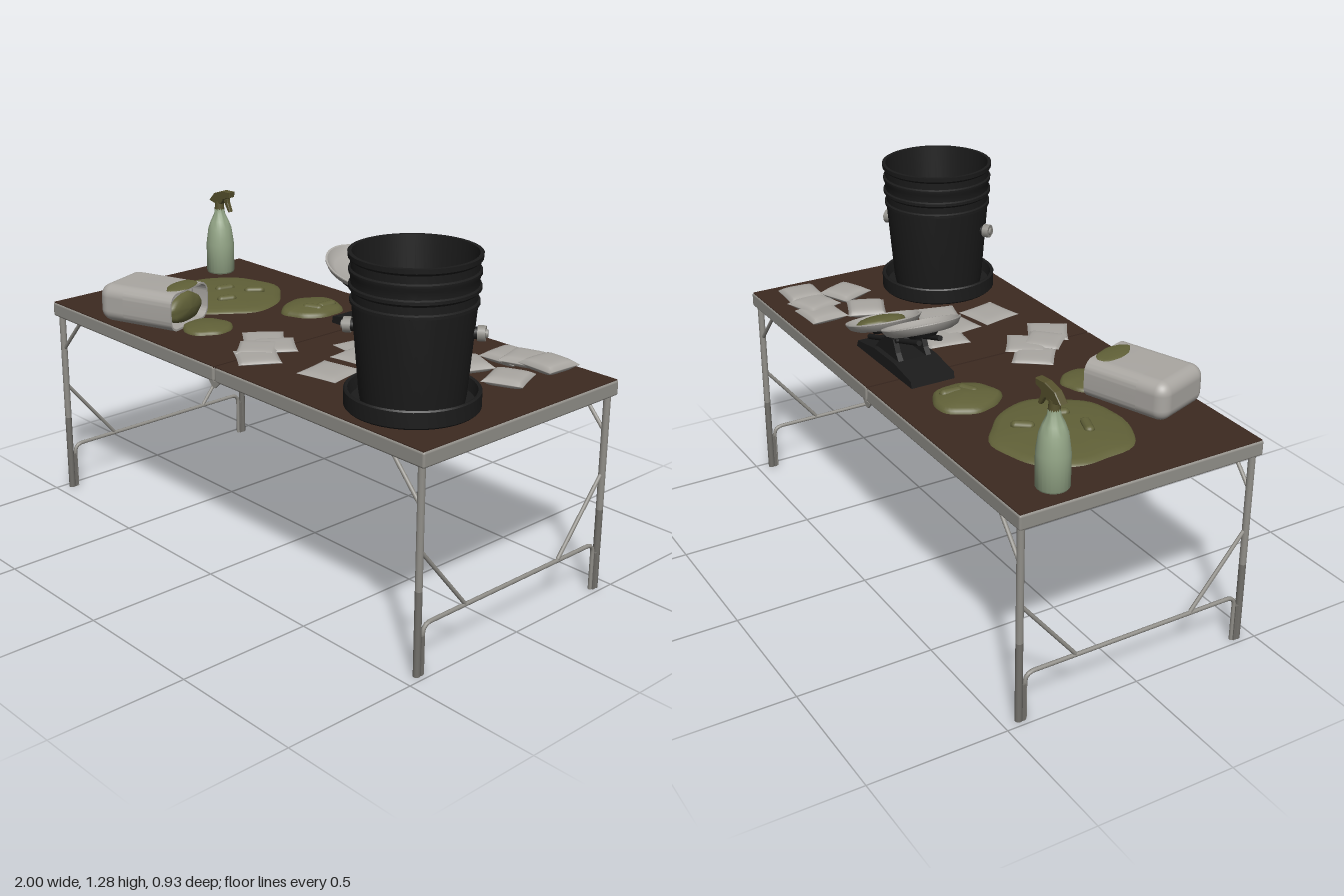
import * as THREE from 'three';
import { toCreasedNormals } from 'three/addons/utils/BufferGeometryUtils.js';
import { RoundedBoxGeometry } from 'three/addons/geometries/RoundedBoxGeometry.js';

const mat = (name, color, side = THREE.FrontSide) => {
  const m = new THREE.MeshStandardMaterial({ color, side });
  m.name = name;
  return m;
};
const V = (x, y, z) => new THREE.Vector3(x, y, z);
const shapeOf = pts => new THREE.Shape(pts.map(p => new THREE.Vector2(...p)));
const TOP = 0.777; // tabletop height

export function createModel() {
  const root = new THREE.Group();
  const brown = mat('brown laminate', 0x3d2a21);
  const metal = mat('grey metal', 0x918f89);
  const darkMetal = mat('dark grey metal', 0x72706b);
  const black = mat('black plastic', 0x1b1b1b, THREE.DoubleSide);
  const white = mat('off white', 0xaaa7a2, THREE.DoubleSide);
  const olive = mat('olive powder', 0x616138);
  const darkOlive = mat('dark olive', 0x55502c);
  const green = mat('pale green', 0x94a687);

  const add = (name, geo, m, pos = [0, 0, 0], rot = [0, 0, 0], parent = root) => {
    const mesh = new THREE.Mesh(geo, m);
    mesh.name = name;
    mesh.position.set(...pos);
    mesh.rotation.set(...rot);
    parent.add(mesh);
    return mesh;
  };
  const group = (name, pos = [0, 0, 0], rot = [0, 0, 0]) => {
    const g = new THREE.Group();
    g.name = name;
    g.position.set(...pos);
    g.rotation.set(...rot);
    root.add(g);
    return g;
  };
  const box = (w, h, d) => new THREE.BoxGeometry(w, h, d);
  const lathe = (pts, n = 32) =>
    toCreasedNormals(new THREE.LatheGeometry(pts.map(p => new THREE.Vector2(...p)), n), 0.6);
  const rod = (name, a, b, r, m, parent = root) => {
    const d = b.clone().sub(a);
    const mesh = add(name, new THREE.CylinderGeometry(r, r, d.length(), 12), m, a.clone().add(b).multiplyScalar(0.5).toArray(), [0, 0, 0], parent);
    mesh.quaternion.setFromUnitVectors(V(0, 1, 0), d.normalize());
  };

  // Folding tabletop: two halves with a narrow gap, hinged at front and back
  for (const s of [-1, 1]) {
    add('tableFrame', new RoundedBoxGeometry(0.997, 0.054, 0.93, 2, 0.008), metal, [s * 0.5015, 0.748, 0]);
    add('tabletop', box(0.991, 0.006, 0.922), brown, [s * 0.4995, TOP - 0.003, 0]);
    const bracket = new THREE.ExtrudeGeometry(shapeOf([[-0.03, 0.724], [-0.006, 0.7], [0.006, 0.7], [0.03, 0.724]]), { depth: 0.006, bevelEnabled: false });
    add('hinge', bracket, metal, [0, 0, s * 0.461 - 0.003]);
  }

  // Leg frames at both ends
  for (const s of [-1, 1]) {
    const x = s * 0.972;
    for (const t of [-1, 1]) {
      rod('legTop', V(x, 0.3, t * 0.443), V(x, 0.73, t * 0.443), 0.0125, metal);
      rod('legBottom', V(x, 0, t * 0.443), V(x, 0.3, t * 0.443), 0.0125, darkMetal);
      rod('cornerBrace', V(x, 0.585, t * 0.443), V(s * 0.845, 0.725, t * 0.443), 0.007, metal);
      rod('endBrace', V(x, 0.43, t * 0.435), V(x, 0.18, t * 0.23), 0.007, metal);
      add('footPlate', box(0.022, 0.14, 0.012), darkMetal, [x, 0.07, t * 0.428]);
    }
    const path = new THREE.CurvePath();
    const c = (a, b) => path.add(new THREE.LineCurve3(a, b));
    const q = (a, b, d) => path.add(new THREE.QuadraticBezierCurve3(a, b, d));
    c(V(x, 0, 0.42), V(x, 0.14, 0.42));
    q(V(x, 0.14, 0.42), V(x, 0.175, 0.42), V(x, 0.175, 0.385));
    c(V(x, 0.175, 0.385), V(x, 0.175, -0.385));
    q(V(x, 0.175, -0.385), V(x, 0.175, -0.42), V(x, 0.14, -0.42));
    c(V(x, 0.14, -0.42), V(x, 0, -0.42));
    add('crossbar', new THREE.TubeGeometry(path, 80, 0.0075, 8), metal);
  }

  // Bucket standing in a round tray
  const bucket = group('bucket', [0.703, TOP, 0.214]);
  add('tray', lathe([[0, 0], [0.215, 0], [0.221, 0.006], [0.221, 0.058], [0.216, 0.063], [0.208, 0.06], [0.2, 0.02], [0, 0.02]], 40), black, [0, 0, 0], [0, 0, 0], bucket);
  const wall = [[0, 0.022], [0.168, 0.022], [0.173, 0.05], [0.198, 0.345]];
  for (const [y, r] of [[0.352, 0.204], [0.4, 0.208], [0.45, 0.208]])
    wall.push([r, y - 0.005], [r, y + 0.005], [r - 0.007, y + 0.009], [r - 0.006, y + 0.034]);
  wall.push([0.21, 0.492], [0.211, 0.508], [0.198, 0.508], [0.163, 0.04], [0, 0.04]);
  add('bucketBody', lathe(wall, 40), black, [0, 0, 0], [0, 0, 0], bucket);
  for (const s of [-1, 1]) {
    const d = V(0.81, 0, -0.586).multiplyScalar(s);
    const at = r => d.clone().multiplyScalar(r).setY(0.255);
    rod('knobCollar', at(0.18), at(0.206), 0.02, black, bucket);
    rod('knob', at(0.2), at(0.225), 0.026, metal, bucket);
    rod('knobTip', at(0.22), at(0.232), 0.014, metal, bucket);
  }

  // Spray bottle
  const spray = group('sprayBottle', [-0.9, TOP, -0.285], [0, 0.12, 0]);
  add('bottle', lathe([[0, 0], [0.052, 0], [0.056, 0.006], [0.056, 0.12], [0.052, 0.15], [0.047, 0.185], [0.036, 0.215], [0.022, 0.245], [0.019, 0.268], [0, 0.268]], 24), green, [0, 0, 0], [0, 0, 0], spray);
  add('cap', new THREE.CylinderGeometry(0.017, 0.02, 0.035, 16), darkOlive, [0, 0.278, 0], [0, 0, 0], spray);
  const head = shapeOf([[-0.042, 0.296], [-0.012, 0.288], [0.02, 0.29], [0.034, 0.31], [0.07, 0.322], [0.072, 0.341], [0.03, 0.341], [-0.015, 0.326]]);
  const trigger = shapeOf([[0.03, 0.315], [0.05, 0.318], [0.053, 0.295], [0.066, 0.262], [0.058, 0.26], [0.041, 0.288]]);
  for (const [n, s, w] of [['sprayHead', head, 0.024], ['trigger', trigger, 0.012]])
    add(n, new THREE.ExtrudeGeometry(s, { depth: w, bevelEnabled: true, bevelSize: 0.002, bevelThickness: 0.003, bevelSegments: 1 }), darkOlive, [0, 0, -w / 2], [0, 0, 0], spray);

  // Heaps with a wavy outline, and the raised ridges on them
  const heap = (name, x, z, rx, rz, h, seed, y = TOP, parent = root, rot = [0, 0, 0]) => {
    const pts = [[1, 0], [0.97, 0.35], [0.88, 0.6], [0.65, 0.8], [0.35, 0.95], [0, 1]];
    const g = new THREE.LatheGeometry(pts.map(p => new THREE.Vector2(...p)), 48);
    const p = g.attributes.position;
    for (let i = 0; i < p.count; i++) {
      const a = Math.atan2(p.getZ(i), p.getX(i));
      const k = 1 + 0.025 * Math.sin(3 * a + seed) + 0.025 * Math.sin(5 * a + 2 * seed) + 0.015 * Math.sin(8 * a);
      p.setXYZ(i, p.getX(i) * k * rx, p.getY(i) * h, p.getZ(i) * k * rz);
    }
    g.computeVertexNormals();
    return add(name, g, olive, [x, y, z], rot, parent);
  };
  heap('largeHeap', -0.617, -0.07, 0.237, 0.236, 0.022, 1);
  heap('middleHeap', -0.257, -0.215, 0.108, 0.122, 0.03, 2.4);
  heap('smallHeap', -0.345, 0.22, 0.09, 0.094, 0.02, 4);
  for (const [x, z, a, l] of [[-0.545, -0.17, 0.9, 0.045], [-0.643, -0.1, 1.35, 0.045], [-0.53, -0.02, 1.2, 0.04], [-0.654, 0.01, -0.35, 0.055], [-0.215, -0.25, 1.5, 0.05], [-0.225, -0.19, 0.5, 0.045]]) {
    const ridge = add('ridge', new THREE.CapsuleGeometry(0.018, l, 5, 12).rotateZ(Math.PI / 2), olive, [x, TOP + 0.02, z], [0, a, 0]);
    ridge.scale.y = 0.8;
  }

  // Open container lying on its side, spilling powder
  const jug = group('container', [-0.565, TOP, 0.3], [0, 0.34, 0]);
  const roundRect = (target, w, h, r) => {
    const [x, y] = [w / 2, h / 2];
    for (const [cx, cy, a] of [[x - r, y - r, 0], [r - x, y - r, 1], [r - x, r - y, 2], [x - r, r - y, 3]])
      target.absarc(cx, cy, r, a * Math.PI / 2, (a + 1) * Math.PI / 2, false);
    return target;
  };
  const shell = roundRect(new THREE.Shape(), 0.25, 0.142, 0.045);
  shell.holes.push(roundRect(new THREE.Path(), 0.236, 0.128, 0.038));
  const sleeve = new THREE.ExtrudeGeometry(shell, { depth: 0.21, bevelEnabled: false, curveSegments: 8 });
  add('containerSleeve', toCreasedNormals(sleeve.rotateY(Math.PI / 2), 0.6), white, [-0.05, 0.072, 0], [0, 0, 0], jug);
  add('containerBody', new RoundedBoxGeometry(0.28, 0.142, 0.25, 5, 0.045), white, [-0.025, 0.072, 0], [0, 0, 0], jug);
  heap('tornOpening', 0.122, -0.01, 0.042, 0.082, 0.008, 3, 0.142, jug);
  heap('spill', 0.13, -0.005, 0.055, 0.1, 0.035, 5, 0.065, jug, [0, 0, -Math.PI / 2]);

  // Balance scale: base, rocking beam and two shallow pans
  const scale = group('scale', [0, TOP, -0.25]);
  const prism = (name, pts, w, z) => add(name, new THREE.ExtrudeGeometry(shapeOf(pts), { depth: w, bevelEnabled: false }), black, [0, 0, z - w / 2], [0, 0, 0], scale);
  prism('scaleBase', [[-0.09, 0], [0.33, 0], [0.32, 0.025], [0.19, 0.045], [0.04, 0.045], [-0.085, 0.025]], 0.17, 0);
  for (const z of [-0.055, 0.055]) {
    prism('support', [[0.03, 0.03], [0.23, 0.03], [0.17, 0.085], [0.13, 0.115], [0.08, 0.115], [0.06, 0.07]], 0.02, z);
    rod('beam', V(-0.07, 0.155, z * 0.75), V(0.31, 0.035, z * 0.75), 0.01, black, scale);
  }
  for (const x of [0.07, 0.12, 0.17]) rod('beamCrosspiece', V(x, 0.157 - (x + 0.07) * 0.316, -0.06), V(x, 0.157 - (x + 0.07) * 0.316, 0.06), 0.008, black, scale);
  const pan = lathe([[0, -0.019], [0.105, -0.017], [0.126, -0.008], [0.14, 0.012], [0.14, 0.016], [0.133, 0.016], [0.118, 0.001], [0.1, -0.006], [0, -0.009]], 40);
  for (const [x, y, z, tilt] of [[-0.038, 0.197, -0.013, -0.37], [0.3, 0.083, 0.013, -0.31]]) {
    add('pan', pan, white, [x, y, z], [0, 0, tilt], scale);
    add('panHolder', new THREE.CylinderGeometry(0.06, 0.045, 0.016, 20), black, [x - 0.008, y - 0.025, z], [0, 0, tilt], scale);
  }
  heap('powderInPan', 0.337, 0.015, 0.07, 0.095, 0.03, 2, 0.064, scale, [0, 0, -0.31]);

  // Small sealed bags: pinched square pillows
  const pillow = new THREE.BoxGeometry(2, 2, 2, 10, 2, 10);
  const pp = pillow.attributes.position;
  for (let i = 0; i < pp.count; i++) {
    const x = pp.getX(i), z = pp.getZ(i);
    const puff = 0.07 + 0.93 * Math.sqrt(Math.max(0, (1 - x ** 4) * (1 - z ** 4)));
    pp.setXYZ(i, x * (1 - 0.03 * (1 - z * z)), pp.getY(i) * puff, z * (1 - 0.03 * (1 - x * x)));
  }
  const bagGeo = toCreasedNormals(pillow, 0.9);
  const bags = [ // x, z, turn, lift, half size, half thickness
    [0.63, -0.335, 0.05, 0.018, 0.075, 0.018], [0.705, -0.33, 0.3, 0.03, 0.072, 0.018], [0.803, -0.335, -0.06, 0.035, 0.072, 0.02],
    [0.59, -0.165, -0.4, 0.018, 0.072, 0.018], [0.775, -0.165, 0.4, 0.018, 0.072, 0.018],
    [0.215, -0.04, -0.15, 0.01, 0.08, 0.01], [0.285, 0.04, 0.15, 0.014, 0.078, 0.01], [0.385, 0.035, -0.25, 0.018, 0.078, 0.01],
    [0.32, 0.22, 0.2, 0.01, 0.08, 0.01], [-0.09, 0.165, -0.65, 0.01, 0.075, 0.01],
    [0.0, 0.19, -0.6, 0.014, 0.075, 0.01], [-0.01, 0.26, 0.75, 0.018, 0.07, 0.01], [0.055, 0.315, -0.55, 0.014, 0.075, 0.01]
  ];
  for (const [x, z, turn, lift, half, thick] of bags)
    add('bag', bagGeo, white, [x, TOP + lift, z], [0, turn, 0]).scale.set(half, thick, half);

  return root;
}
